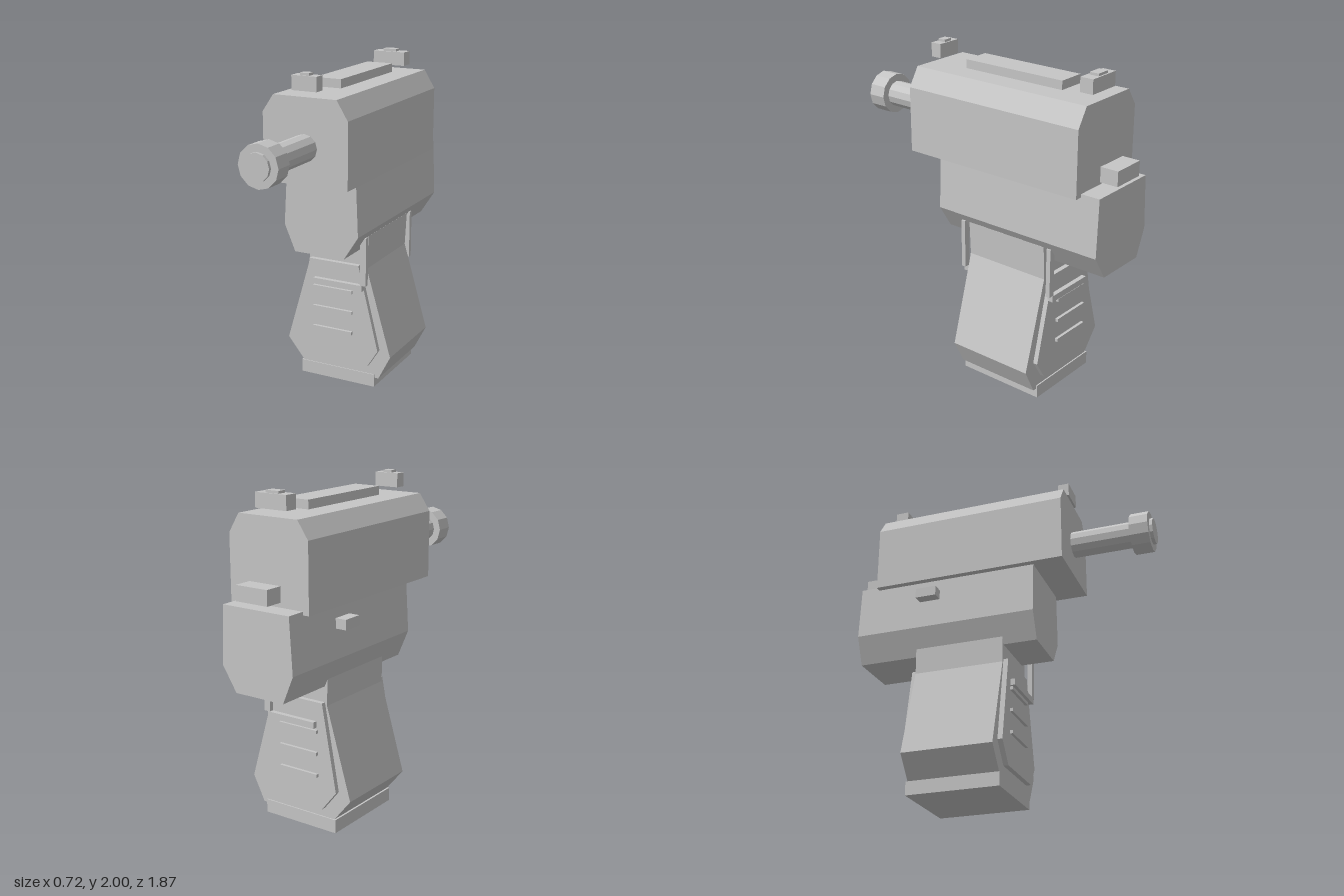
import * as THREE from 'three';

const grey = new THREE.MeshStandardMaterial({ color: 0xc6c6c6, flatShading: true });
grey.name = 'lightGrey';

export function createModel() {
  const model = new THREE.Group();
  model.name = 'toyBlaster';

  const add = (name, geometry) => {
    const mesh = new THREE.Mesh(geometry, grey);
    mesh.name = name;
    model.add(mesh);
    return mesh;
  };

  // Box given by its limits on each axis
  const box = (name, [x0, x1], [y0, y1], [z0, z1]) =>
    add(name, new THREE.BoxGeometry(x1 - x0, y1 - y0, z1 - z0))
      .position.set((x0 + x1) / 2, (y0 + y1) / 2, (z0 + z1) / 2);

  // Front outline pushed along z
  const prism = (name, outline, z0, z1) => {
    const shape = new THREE.Shape(outline.map(([x, y]) => new THREE.Vector2(x, y)));
    add(name, new THREE.ExtrudeGeometry(shape, { depth: z1 - z0, bevelEnabled: false }))
      .position.z = z0;
  };

  // Cylinder lying along z on the barrel axis
  const tube = (name, radius, z0, z1) => {
    const geometry = new THREE.CylinderGeometry(radius, radius, z1 - z0, 12);
    geometry.rotateX(Math.PI / 2);
    add(name, geometry).position.set(-0.005, 1.58, (z0 + z1) / 2);
  };

  // Body
  prism('slide', [[-0.275, 1.36], [0.268, 1.36], [0.268, 1.755], [0.198, 1.868],
    [-0.205, 1.868], [-0.275, 1.765]], -0.785, 0.423);
  prism('receiver', [[-0.185, 0.885], [0.145, 0.885], [0.237, 1.03], [0.222, 1.38],
    [-0.235, 1.38], [-0.255, 1.05]], -0.905, 0.232);
  box('hammer', [-0.115, 0.1], [1.42, 1.51], [-0.935, -0.822]);
  box('sideButton', [-0.31, -0.235], [1.225, 1.285], [-0.5, -0.37]);

  // Barrel
  tube('barrel', 0.08, 0.4, 0.935);
  tube('muzzleRing', 0.125, 0.8, 0.915);

  // Top rail and sights
  box('topRail', [-0.09, 0.081], [1.88, 1.933], [-0.54, 0.145]);
  box('frontSight', [-0.085, 0.073], [1.9, 1.985], [0.353, 0.422]);
  box('frontSightTip', [-0.035, 0.022], [1.985, 2.0], [0.363, 0.413]);
  box('rearSight', [-0.11, 0.103], [1.9, 1.985], [-0.755, -0.672]);
  box('rearSightTip', [-0.05, 0.038], [1.985, 2.0], [-0.745, -0.687]);

  // Grip
  prism('grip', [[-0.23, 0.06], [0.28, 0.06], [0.358, 0.215], [0.195, 0.77],
    [0.206, 0.98], [-0.205, 0.98], [-0.2, 0.77], [-0.36, 0.22]], -0.53, 0.025);
  box('basePlate', [-0.26, 0.253], [0, 0.082], [-0.538, 0.031]);

  // Panels, ribs and guard bars, on the front and back of the grip
  const panel = [[-0.18, 0.138], [0.215, 0.138], [0.286, 0.253], [0.152, 0.79],
    [-0.185, 0.79], [-0.28, 0.263]];
  const middle = -0.252;
  for (const [side, s] of [['front', 1], ['back', -1]]) {
    const span = (a, b) => [middle + s * a, middle + s * b].sort((p, q) => p - q);
    prism(side + 'GripPanel', panel, ...span(0.27, 0.307));
    for (const y of [0.345, 0.48, 0.615]) {
      box(side + 'GripRib', [-0.155, 0.114], [y - 0.01, y + 0.01], span(0.3, 0.325));
    }
    box(side + 'GuardBar', [-0.145, 0.188], [0.637, 0.676], span(0.3, 0.336));
    box(side + 'GuardPost', [0.175, 0.215], [0.676, 0.98], span(0.305, 0.333));
  }

  return model;
}
